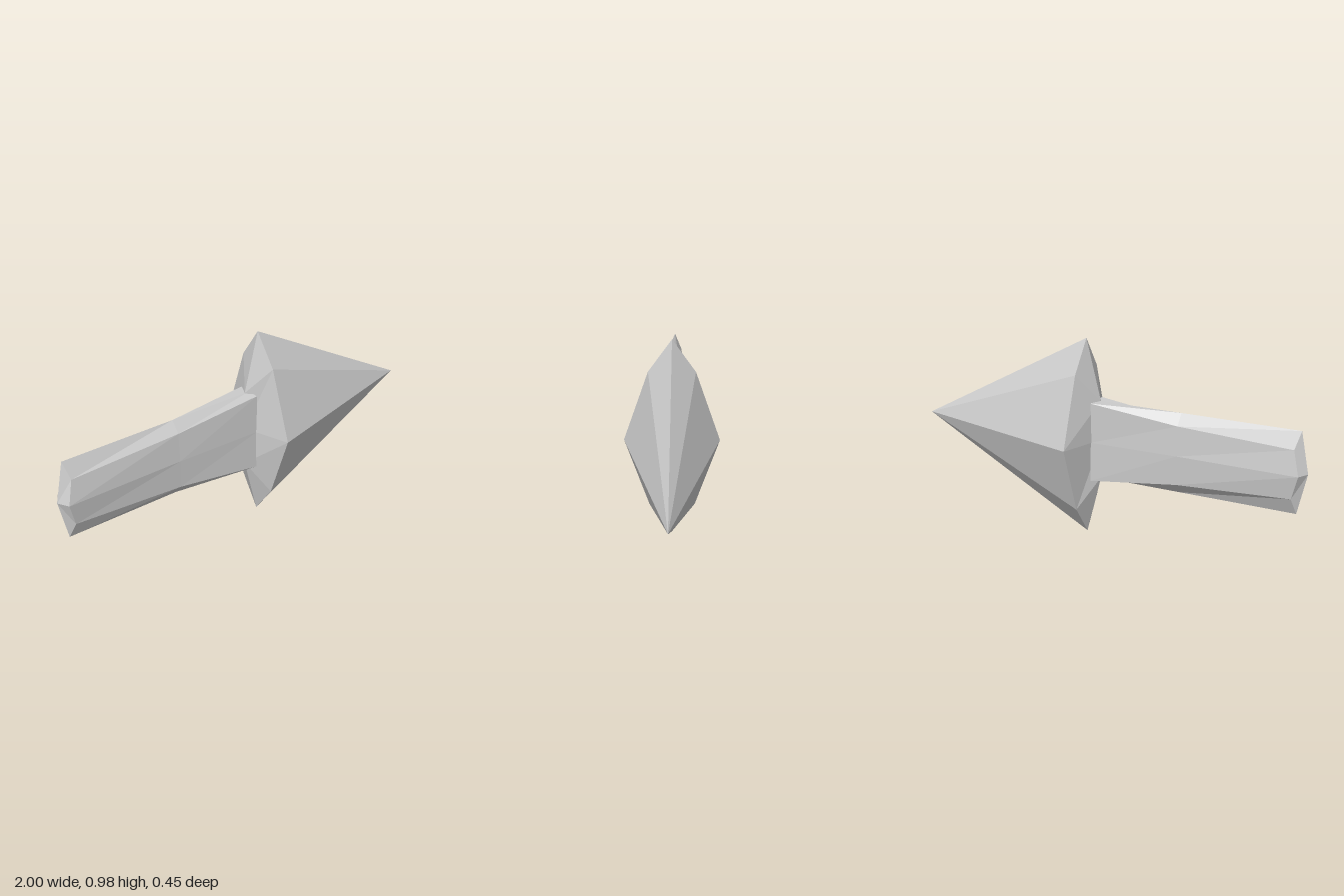
import * as THREE from 'three';

const MID = 0.495;

// Eight-point ring from three [x, height, depth] corners: ridge, shoulder, side.
// Mirrored up/down and front/back, counterclockwise seen from +x.
function ring(ridge, shoulder, side) {
  const p = ([x, h, d], sy, sz) => new THREE.Vector3(x, MID + sy * h, sz * d);
  return [
    p(ridge, 1, 1), p(shoulder, 1, 1), p(side, 1, 1), p(shoulder, -1, 1),
    p(ridge, -1, 1), p(shoulder, -1, -1), p(side, 1, -1), p(shoulder, 1, -1),
  ];
}

const point = (x) => ring([x, 0, 0], [x, 0, 0], [x, 0, 0]);

// Skin consecutive rings with faceted faces, dropping collapsed triangles
function loft(name, rings) {
  const positions = [];
  const tri = new THREE.Triangle();
  const add = (a, b, c) => {
    if (tri.set(a, b, c).getArea() > 1e-7) {
      for (const v of [a, b, c]) positions.push(v.x, v.y, v.z);
    }
  };
  for (let r = 0; r < rings.length - 1; r++) {
    for (let i = 0; i < 8; i++) {
      const j = (i + 1) % 8;
      const a = rings[r][i], b = rings[r][j];
      const c = rings[r + 1][i], d = rings[r + 1][j];
      add(a, b, c);
      add(b, d, c);
    }
  }
  const geometry = new THREE.BufferGeometry();
  geometry.setAttribute('position', new THREE.Float32BufferAttribute(positions, 3));
  geometry.computeVertexNormals();
  const material = new THREE.MeshStandardMaterial({
    color: 0xcccccc, flatShading: true, side: THREE.DoubleSide,
  });
  const mesh = new THREE.Mesh(geometry, material);
  mesh.name = name;
  return mesh;
}

export function createModel() {
  const group = new THREE.Group();
  group.name = 'arrow';

  // Shaft: pointed tail, bevelled grip, then a squared neck into the head
  group.add(loft('shaft', [
    point(-1),
    ring([-0.96, 0.195, 0], [-0.94, 0.115, 0.035], [-0.97, 0, 0.052]),
    ring([-0.4, 0.195, 0], [-0.4, 0.143, 0.043], [-0.4, 0, 0.05]),
    ring([0.035, 0.195, 0], [0.035, 0.195, 0.06], [0.035, 0, 0.06]),
  ]));

  // Head: back tapers to a vertical ridge, front runs out to the tip
  group.add(loft('arrowHead', [
    ring([0.01, 0.195, 0], [0.01, 0.195, 0], [0.01, 0, 0]),
    ring([0.085, 0.492, 0], [0.088, 0.338, 0.11], [0.09, 0, 0.226]),
    point(1),
  ]));

  return group;
}
